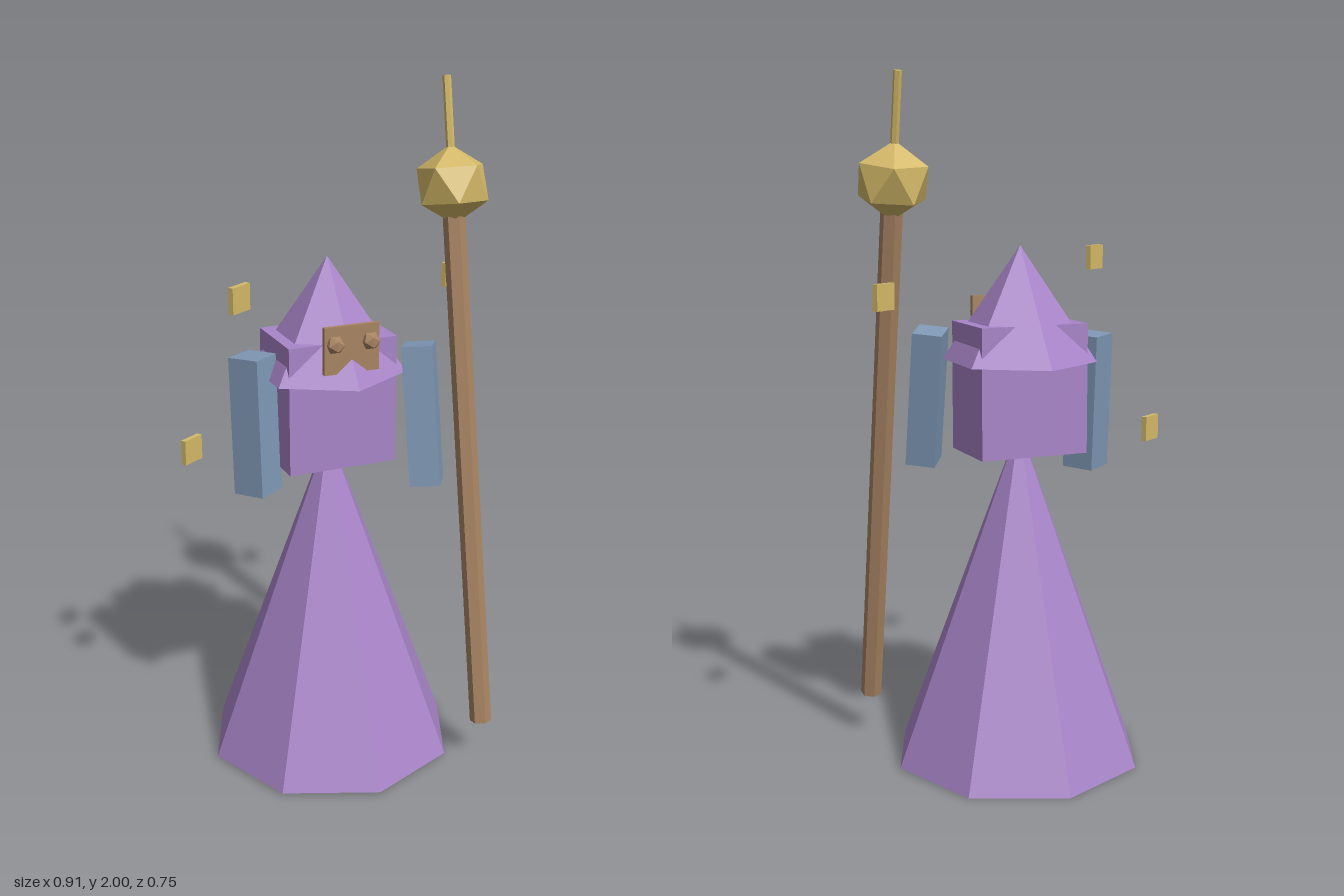
import * as THREE from 'three';

const mat = (name, color) => {
  const m = new THREE.MeshStandardMaterial({ color, flatShading: true });
  m.name = name;
  return m;
};

export function createModel() {
  const purple = mat('robe purple', 0xa985c9);
  const blue = mat('sleeve blue', 0x7f98b5);
  const brown = mat('wood brown', 0xa88463);
  const gold = mat('gold', 0xd4b968);

  const model = new THREE.Group();
  const add = (name, geometry, material, pos, rot = [0, 0, 0], parent = model) => {
    const mesh = new THREE.Mesh(geometry, material);
    mesh.name = name;
    mesh.position.set(...pos);
    mesh.rotation.set(...rot);
    parent.add(mesh);
    return mesh;
  };

  // Robe, leaning very slightly back
  add('robe', new THREE.ConeGeometry(0.374, 1.0, 8), purple, [-0.031, 0.505, -0.003], [-0.013, 0, 0]);

  // Torso and hood
  add('torso', new THREE.BoxGeometry(0.326, 0.375, 0.226), purple, [-0.031, 1.118, -0.011]);
  add('hood', new THREE.ConeGeometry(0.224, 0.33, 6), purple, [-0.031, 1.36, -0.013], [-0.013, 0, 0]);

  // Face mask with bead eyes
  add('mask', new THREE.BoxGeometry(0.163, 0.135, 0.014), brown, [-0.031, 1.303, 0.153]);
  for (const side of [-1, 1]) {
    add(side > 0 ? 'leftEye' : 'rightEye', new THREE.IcosahedronGeometry(0.027, 0), brown,
      [-0.03 + side * 0.053, 1.322, 0.165]);
  }

  // Sleeves, turned and swung forward
  add('leftSleeve', new THREE.BoxGeometry(0.087, 0.402, 0.106), blue, [0.194, 1.08, 0.15], [-0.175, -0.56, 0]);
  add('rightSleeve', new THREE.BoxGeometry(0.1, 0.4, 0.096), blue, [-0.258, 1.063, 0.001], [-0.066, 0.62, 0]);

  // Staff: shaft, orb and spike share one leaning axis
  const staff = new THREE.Group();
  staff.name = 'staff';
  staff.position.set(0.329, 1.705, 0.037);
  staff.rotation.x = -0.175;
  model.add(staff);
  add('shaft', new THREE.CylinderGeometry(0.032, 0.032, 1.6, 6), brown, [0, -0.8, 0], [0, 0, 0], staff);
  const orb = new THREE.IcosahedronGeometry(0.111, 0).rotateZ(-0.5536); // a corner points up
  add('orb', orb, gold, [0, 0, 0], [0, 0, 0], staff);
  add('spike', new THREE.CylinderGeometry(0.012, 0.012, 0.297, 6), gold, [0, 0.15, 0], [0, 0, 0], staff);

  // Floating charms
  const charms = [[-0.346, 1.475, 0.14], [0.418, 1.403, -0.133], [-0.423, 0.982, -0.083]];
  charms.forEach((p, i) =>
    add(`charm${i + 1}`, new THREE.BoxGeometry(0.072, 0.072, 0.016), gold, p, [0, 0.56, 0]));

  return model;
}
